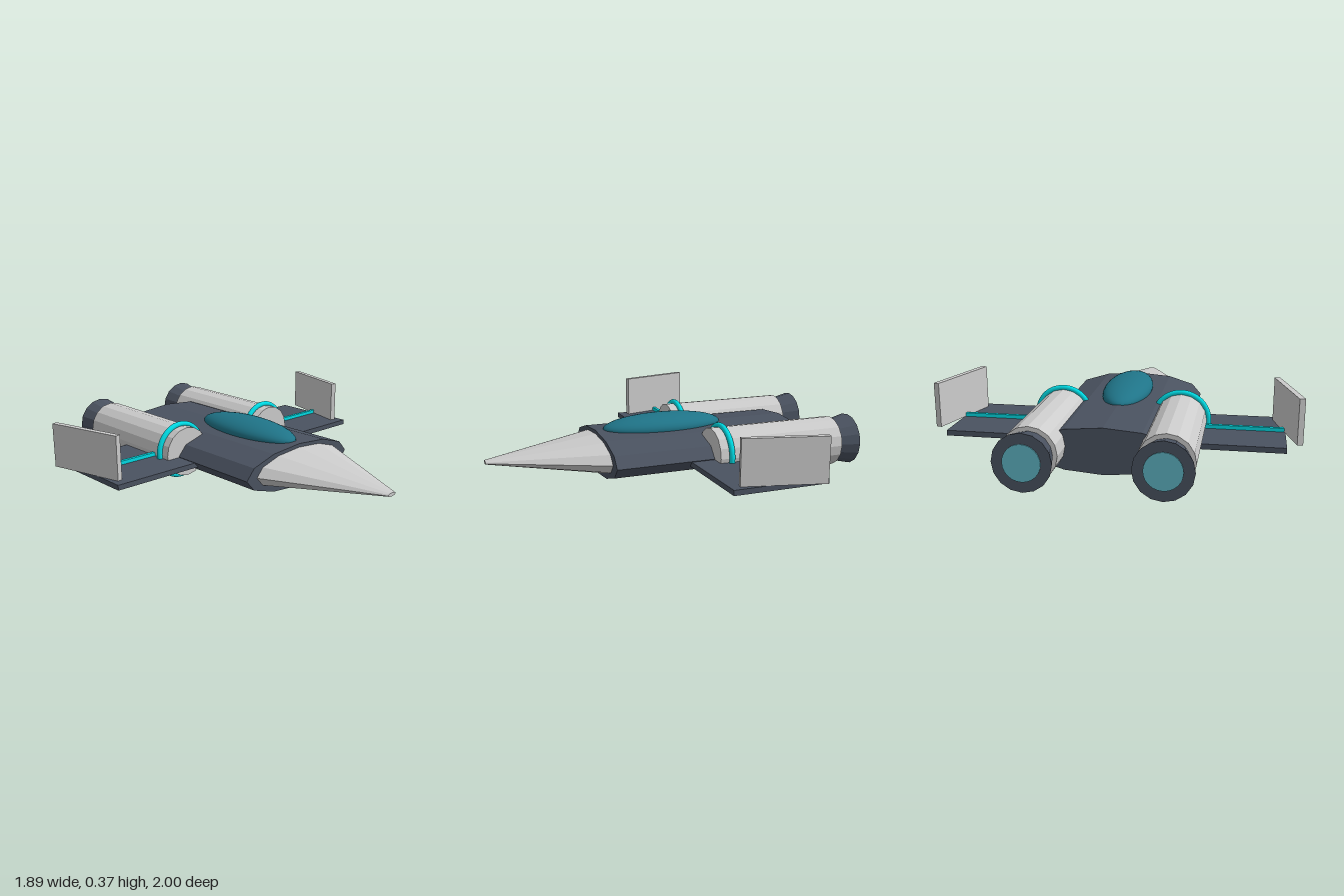
import * as THREE from 'three';

const mat = (color, flatShading = true) => new THREE.MeshStandardMaterial({ color, flatShading });

export function createModel() {
  const group = new THREE.Group();
  const grey = mat(0xcccccc);
  const dark = mat(0x4a5260);
  const cyan = mat(0x00dde6, false);
  const teal = mat(0x1f7488, false);
  const glow = mat(0x5fb4c4, false);

  const add = (name, geometry, material, x, y, z) => {
    const mesh = new THREE.Mesh(geometry, material);
    mesh.name = name;
    mesh.position.set(x, y, z);
    group.add(mesh);
    return mesh;
  };

  // Tapered tube along z, from zBack to zFront
  const tube = (rFront, rBack, zFront, zBack, sides) =>
    new THREE.CylinderGeometry(rFront, rBack, zFront - zBack, sides)
      .rotateX(Math.PI / 2)
      .translate(0, 0, (zFront + zBack) / 2);

  // Flattened hull and nose
  add('hull', tube(0.38, 0.38, 0.4, -0.735, 12).scale(1, 0.31, 1), dark, 0, 0.144, 0);
  add('nose', tube(0.03, 0.31, 1, 0.4, 12).scale(1, 0.31, 1), grey, 0, 0.146, 0);

  // Canopy bubble
  add('canopy', new THREE.SphereGeometry(1, 32, 20).scale(0.132, 0.07, 0.347), teal, 0, 0.259, 0.01);

  for (const [side, s] of [['left', 1], ['right', -1]]) {
    // Wing with glowing strip
    add(side + 'Wing', new THREE.BoxGeometry(0.665, 0.028, 0.52), dark, s * 0.5325, 0.126, -0.27);
    add(side + 'WingStrip', new THREE.BoxGeometry(0.55, 0.02, 0.02), cyan, s * 0.585, 0.15, -0.265);

    // Wingtip fin, toed in towards the front
    const fin = add(side + 'Fin', new THREE.BoxGeometry(0.03, 0.235, 0.43), grey, s * 0.873, 0.258, -0.27);
    fin.rotation.y = -s * Math.PI / 12;

    // Engine with ring, nozzle and exhaust
    const x = s * 0.32, y = 0.162;
    add(side + 'Engine', tube(0.137, 0.137, -0.14, -0.88, 16), grey, x, y, 0);
    add(side + 'EngineRing', new THREE.TorusGeometry(0.145, 0.015, 12, 48), cyan, x, y, -0.2);
    add(side + 'Nozzle', tube(0.115, 0.142, -0.88, -0.995, 16), dark, x, y, 0);
    add(side + 'Exhaust', tube(0.09, 0.09, -0.98, -1, 24), glow, x, y, 0);
  }

  return group;
}
